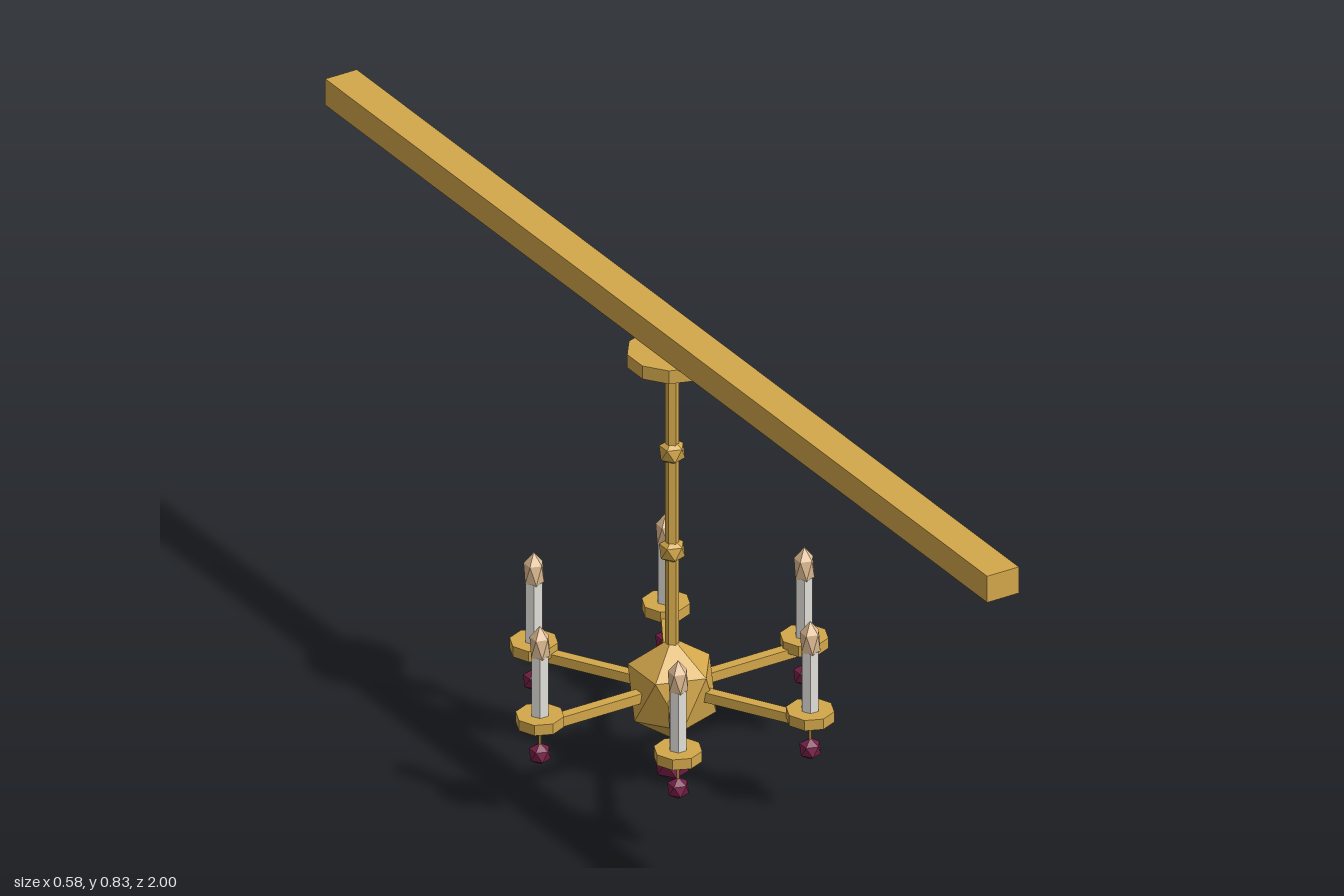
import * as THREE from 'three';

const flat = (name, color) => {
  const m = new THREE.MeshStandardMaterial({ color, flatShading: true });
  m.name = name;
  return m;
};

export function createModel() {
  const gold = flat('gold', 0xd4a84b);
  const wax = flat('wax', 0xe4e1dc);
  const glow = flat('flame', 0xe0bd94);
  const ruby = flat('ruby', 0x7a2048);
  const model = new THREE.Group();
  model.name = 'chandelier';

  const add = (name, geometry, material, x, y, z, parent = model) => {
    const mesh = new THREE.Mesh(geometry, material);
    mesh.name = name;
    mesh.position.set(x, y, z);
    parent.add(mesh);
    return mesh;
  };

  // Icosahedron standing on one vertex, optionally stretched upward
  const gem = (r, stretch = 1) => new THREE.IcosahedronGeometry(r, 0)
    .rotateZ(-Math.atan(2 / (1 + Math.sqrt(5))))
    .scale(1, stretch, 1);

  // Upright cylinder between two heights
  const post = (r, y0, y1, sides) =>
    new THREE.CylinderGeometry(r, r, y1 - y0, sides).translate(0, (y0 + y1) / 2, 0);

  // Ceiling beam, canopy and hanging rod
  add('ceilingBeam', new THREE.BoxGeometry(0.06, 0.048, 2), gold, 0, 0.811, 0);
  add('canopy', post(0.0745, 0.763, 0.787, 10), gold, 0, 0, 0);
  add('rod', post(0.0115, 0.2, 0.77, 6), gold, 0, 0, 0);
  for (const y of [0.42, 0.6]) add('rodBead', gem(0.0235), gold, 0, y, 0);

  // Central body and the gem below it
  add('body', gem(0.08, 1.15), gold, 0, 0.168, 0);
  add('centreGem', gem(0.0305), ruby, 0, 0.0305, 0);

  // Six arms, each with a cup, candle, flame and hanging gem
  for (let i = 0; i < 6; i++) {
    const a = i * Math.PI / 3;
    const arm = add('arm', new THREE.BoxGeometry(0.25, 0.0175, 0.0185).translate(0.125, 0, 0), gold, 0, 0.1705, 0);
    arm.rotation.y = a;

    const light = new THREE.Group();
    light.name = 'candleHolder';
    light.position.set(0.2515 * Math.cos(a), 0, -0.2515 * Math.sin(a));
    model.add(light);
    add('cup', post(0.04, 0.173, 0.192, 8), gold, 0, 0, 0, light);
    add('candle', post(0.0155, 0.19, 0.3, 6).rotateY(Math.PI / 6), wax, 0, 0, 0, light);
    add('flame', gem(0.0185, 2), glow, 0, 0.316, 0, light);
    add('gemWire', post(0.0025, 0.13, 0.173, 5), gold, 0, 0, 0, light);
    add('hangingGem', gem(0.0195), ruby, 0, 0.12, 0, light);
  }
  return model;
}
